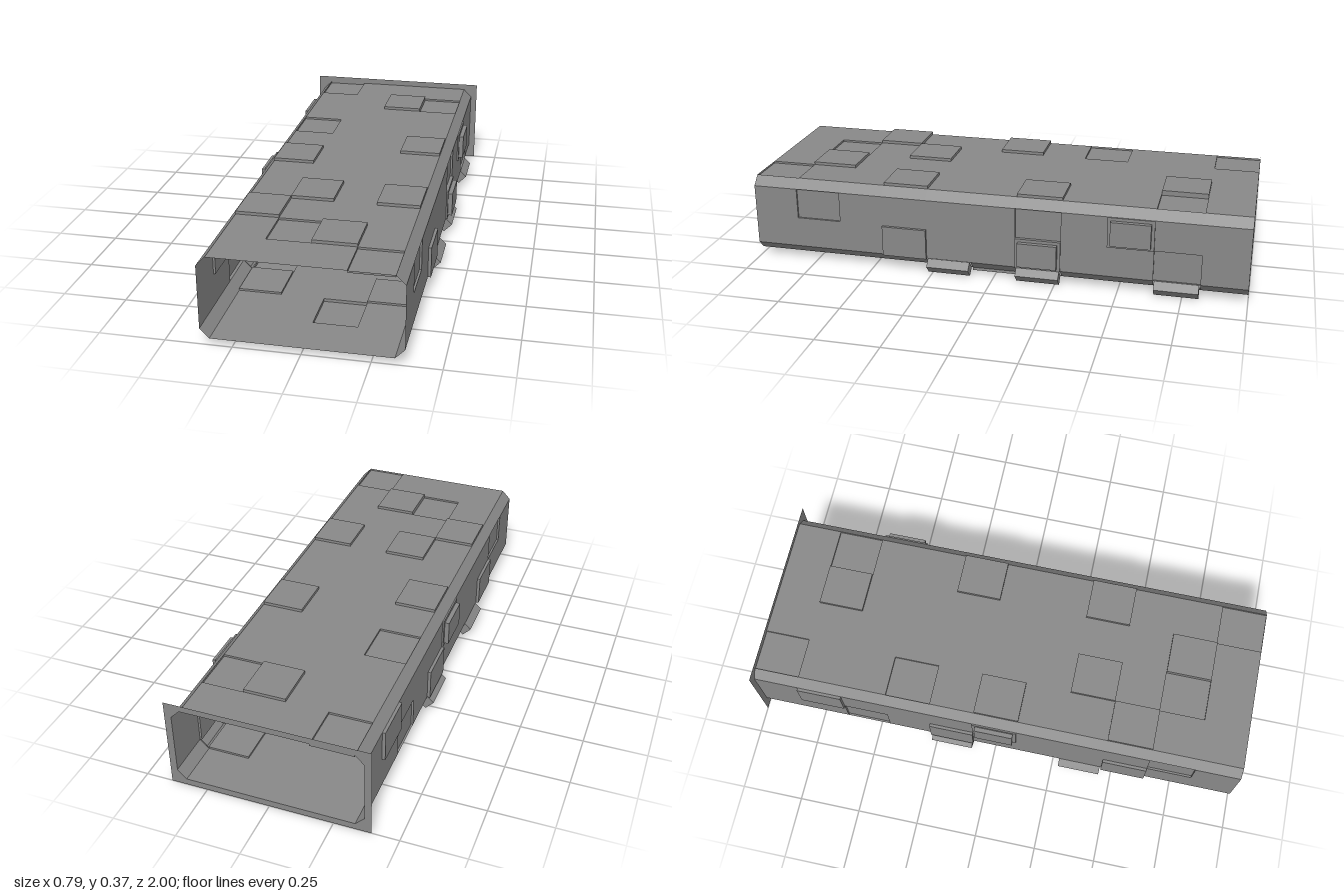
import * as THREE from 'three';

const ROWS = 11;                 // panel rows along the duct, from front to back
const PITCH = 2 / ROWS;
const RAISED = 0.012, RECESSED = -0.008;

// Duct cross-section, clockwise from the top left
const SECTION = [
  [-0.333, 0.347], [0.333, 0.347], [0.368, 0.311], [0.368, 0.062],
  [0.333, 0.026], [-0.333, 0.026], [-0.368, 0.062], [-0.368, 0.311],
];

// One entry per side: columns, then [column, row] cells of each kind
const SIDES = [
  { name: 'roof', cols: 4,
    raised: [[0, 5], [3, 6], [1, 3], [3, 3], [0, 2], [2, 1], [2, 9]],
    recessed: [[3, 0], [0, 10], [0, 7], [1, 1], [3, 9]] },
  { name: 'upperLeftChamfer', cols: 1 },
  { name: 'leftWall', cols: 2,
    raised: [[1, 3]], recessed: [[0, 1], [0, 6], [1, 9]], boss: [[1, 6], [0, 8]] },
  { name: 'lowerLeftChamfer', cols: 1, block: [[0, 4], [0, 6], [0, 9]] },
  { name: 'floor', cols: 4,
    raised: [[1, 1], [1, 8], [3, 8], [0, 5], [2, 5], [3, 3]],
    recessed: [[0, 2], [3, 2], [3, 7], [0, 9]] },
  { name: 'lowerRightChamfer', cols: 1, block: [[0, 3], [0, 6]] },
  { name: 'rightWall', cols: 2,
    raised: [[1, 9], [0, 6], [0, 2]], recessed: [[0, 8], [1, 1]], boss: [[1, 5]] },
  { name: 'upperRightChamfer', cols: 1 },
];

// Open box pushed out (d > 0) or in (d < 0) from the wall surface
function tray(w, l, d) {
  const g = new THREE.BoxGeometry(w, Math.abs(d), l).translate(0, d / 2, 0);
  const index = Array.from(g.index.array);
  index.splice(d > 0 ? 18 : 12, 6);   // drop the face lying in the wall
  g.setIndex(index);
  g.clearGroups();
  return g;
}

export function createModel() {
  const model = new THREE.Group();
  model.name = 'panelledDuct';
  const metal = new THREE.MeshStandardMaterial({ color: 0x888888, side: THREE.DoubleSide, flatShading: true });
  metal.name = 'grey metal';

  const add = (parent, geometry, name, x, y, z) => {
    const mesh = new THREE.Mesh(geometry, metal);
    mesh.name = name;
    mesh.position.set(x, y, z);
    parent.add(mesh);
  };

  // Eight long sides, each laid flat with its outward normal along local y
  SIDES.forEach((side, s) => {
    const [ax, ay] = SECTION[s], [bx, by] = SECTION[(s + 1) % 8];
    const width = Math.hypot(bx - ax, by - ay), w = width / side.cols;
    const group = new THREE.Group();
    group.name = side.name;
    group.position.set((ax + bx) / 2, (ay + by) / 2, 0);
    group.rotation.z = Math.atan2(by - ay, bx - ax);
    model.add(group);

    const has = (kind, c, r) => (side[kind] || []).some(([i, j]) => i === c && j === r);
    for (let c = 0; c < side.cols; c++) {
      for (let r = 0; r < ROWS; r++) {
        const x = -width / 2 + (c + 0.5) * w, z = 1 - (r + 0.5) * PITCH;
        if (has('raised', c, r)) {
          add(group, tray(w, PITCH, RAISED), 'raisedPanel', x, 0, z);
        } else if (has('recessed', c, r)) {
          add(group, tray(w, PITCH, RECESSED), 'recessedPanel', x, 0, z);
        } else if (has('block', c, r)) {
          add(group, tray(w * 0.95, PITCH * 0.95, 0.038), 'edgeBlock', x, 0, z);
        } else if (has('boss', c, r)) {
          // Shallow base with a smaller raised plate on it
          add(group, tray(w, PITCH, 0.006), 'bossBase', x, 0, z);
          add(group, tray(w - 0.025, PITCH - 0.025, 0.018), 'bossPlate', x, 0.006, z);
        } else {
          add(group, new THREE.PlaneGeometry(w, PITCH).rotateX(-Math.PI / 2), 'wallPlate', x, 0, z);
        }
      }
    }
  });

  // Flat rectangular flange around the back opening
  const frame = new THREE.Shape([[-0.395, 0], [0.395, 0], [0.395, 0.372], [-0.395, 0.372]]
    .map(([x, y]) => new THREE.Vector2(x, y)));
  frame.holes.push(new THREE.Path(SECTION.map(([x, y]) => new THREE.Vector2(x, y))));
  add(model, new THREE.ShapeGeometry(frame), 'backFlange', 0, 0, -1);

  return model;
}
